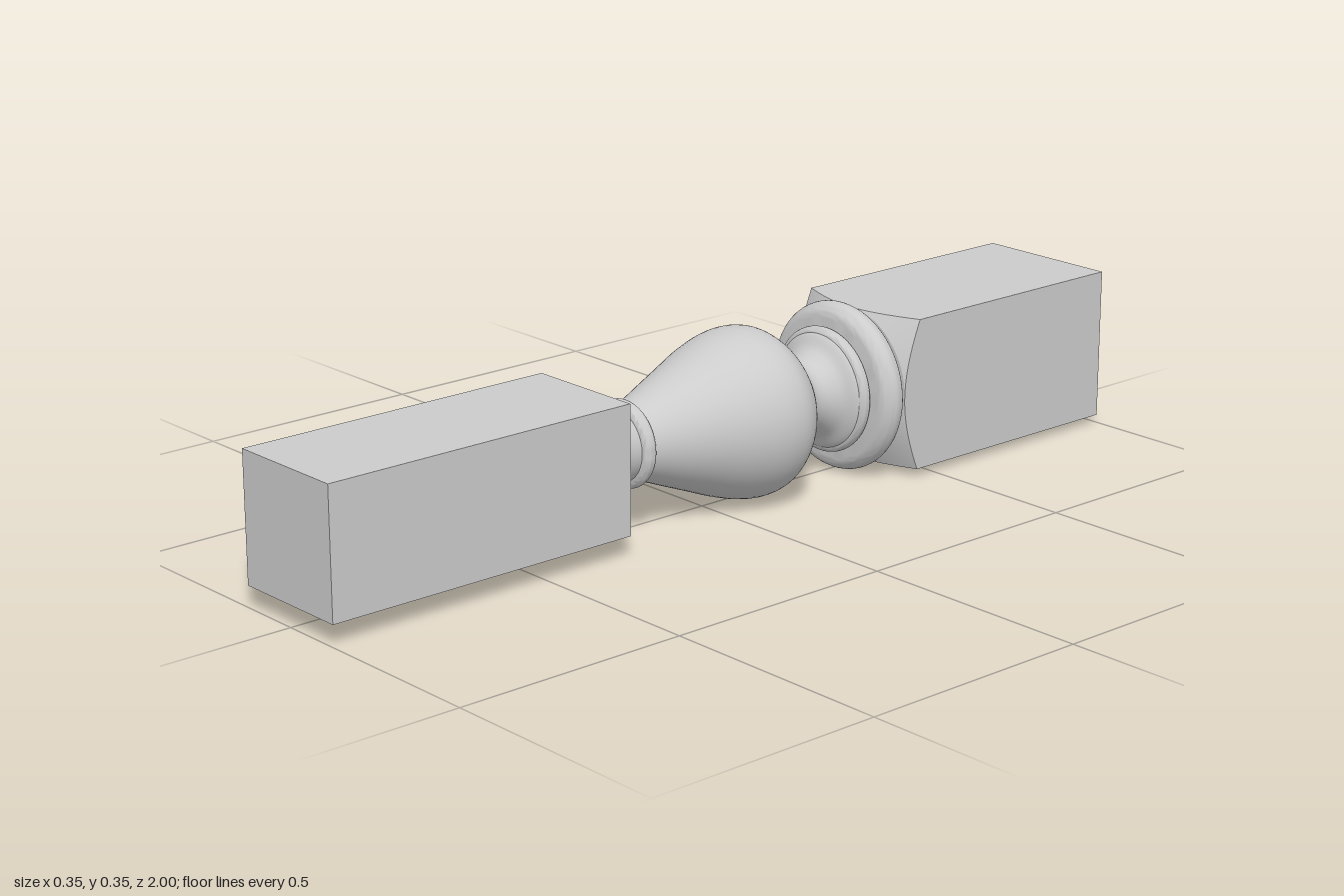
import * as THREE from 'three';
import { toCreasedNormals } from 'three/addons/utils/BufferGeometryUtils.js';

const AXIS_Y = 0.177;
const material = new THREE.MeshStandardMaterial({ color: 0xcccccc });

function addPart(group, name, geometry) {
  const mesh = new THREE.Mesh(geometry, material);
  mesh.name = name;
  group.add(mesh);
  return mesh;
}

// Smooth turned section along z; profile entries are [radius, z], z ascending.
function turned(points, divisions = 48) {
  const curve = new THREE.CatmullRomCurve3(points.map(([r, z]) => new THREE.Vector3(r, z, 0)));
  const profile = curve.getPoints(divisions).map((p) => new THREE.Vector2(p.x, p.y));
  return new THREE.LatheGeometry(profile, 64).rotateX(Math.PI / 2);
}

// Rounded ring given its outer radius, half thickness and height of the bulge.
function bead(outer, halfThickness, bulge, z) {
  const profile = [];
  for (let i = 0; i <= 16; i++) {
    const a = -Math.PI / 2 + (Math.PI * i) / 16;
    profile.push(new THREE.Vector2(outer - bulge + bulge * Math.cos(a), z + halfThickness * Math.sin(a)));
  }
  profile.unshift(new THREE.Vector2(0, z - halfThickness));
  profile.push(new THREE.Vector2(0, z + halfThickness));
  return toCreasedNormals(new THREE.LatheGeometry(profile, 64).rotateX(Math.PI / 2), 0.7);
}

// Square block whose front corners are turned away by a cone.
function coneCutBlock(half, back, front, slope) {
  const n = 64;
  const positions = [];
  const indices = [];
  for (let ring = 0; ring < 5; ring++) {
    for (let i = 0; i <= n; i++) {
      const a = (i / n) * Math.PI * 2;
      const c = Math.cos(a), s = Math.sin(a);
      const edge = half / Math.max(Math.abs(c), Math.abs(s));
      const cut = front - (edge - half) * slope;
      const r = [0, edge, edge, half, 0][ring];
      positions.push(c * r, s * r, [back, back, cut, front, front][ring]);
    }
  }
  for (let ring = 0; ring < 4; ring++) {
    for (let i = 0; i < n; i++) {
      const a = ring * (n + 1) + i, b = a + 1;
      const d = a + n + 1, c = d + 1;
      if (ring > 0) indices.push(a, b, c);
      if (ring < 3) indices.push(a, c, d);
      if (ring === 0) continue;
    }
  }
  const geometry = new THREE.BufferGeometry();
  geometry.setAttribute('position', new THREE.Float32BufferAttribute(positions, 3));
  geometry.setIndex(indices);
  return toCreasedNormals(geometry, 0.4);
}

export function createModel() {
  const group = new THREE.Group();
  group.name = 'turnedBaluster';

  // Square ends
  addPart(group, 'frontBlock', new THREE.BoxGeometry(0.266, 0.266, 0.7).translate(0, 0, 0.65));
  addPart(group, 'backBlock', coneCutBlock(0.16, -1, -0.41, 0.6));

  // Collar against the back block
  addPart(group, 'backCollar', bead(0.177, 0.03, 0.03, -0.375));
  addPart(group, 'backFillet', bead(0.132, 0.013, 0.012, -0.333));

  // Vase-shaped body with its flared back neck
  addPart(group, 'vaseBody', turned([
    [0.125, -0.35], [0.122, -0.322], [0.093, -0.3], [0.077, -0.27], [0.08, -0.24],
    [0.108, -0.213], [0.148, -0.175], [0.17, -0.14], [0.176, -0.105], [0.172, -0.065],
    [0.156, -0.01], [0.132, 0.05], [0.108, 0.11], [0.086, 0.165], [0.075, 0.2],
  ], 72));

  // Small ring and flared foot at the front block
  addPart(group, 'frontRing', bead(0.09, 0.015, 0.015, 0.205));
  addPart(group, 'frontFoot', turned([
    [0.073, 0.2], [0.074, 0.225], [0.078, 0.255], [0.09, 0.28], [0.118, 0.302],
  ], 20));

  for (const mesh of group.children) mesh.position.y = AXIS_Y;
  return group;
}
